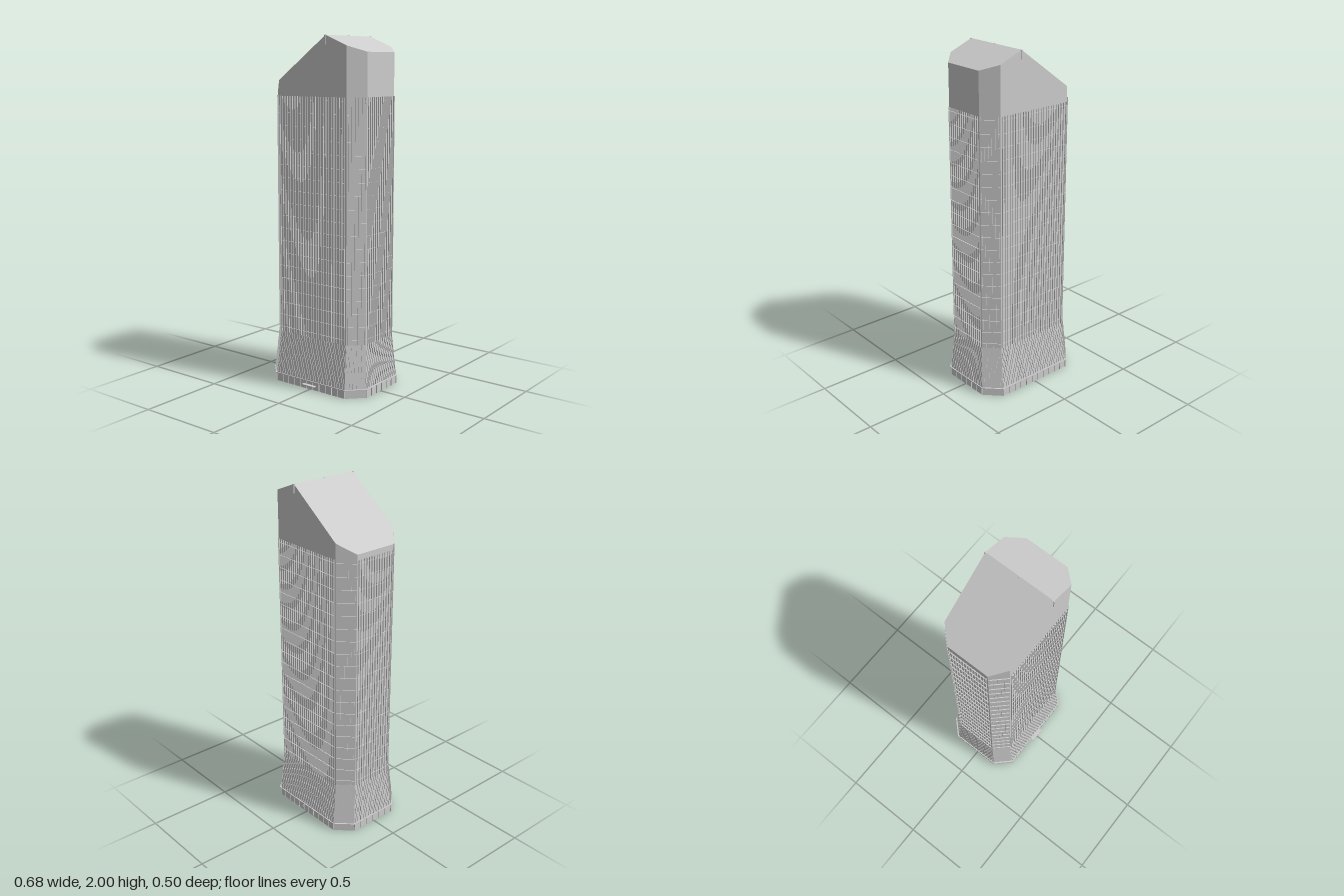
import * as THREE from 'three';

const CZ = -0.0085;   // plan centre in z
const RIDGE = 0.095;  // ridge position in x
const mix = THREE.MathUtils.lerp;

// Chamfered plan at height y: straight shaft over a flared foot
function plan(y) {
  const t = THREE.MathUtils.clamp((0.3 - y) / 0.25, 0, 1);
  const hx = mix(0.315, 0.333, t), hz = mix(0.2075, 0.235, t);
  const fx = mix(0.237, 0.248, t), fz = mix(0.1275, 0.148, t);
  return [[-fx, hz], [fx, hz], [hx, fz], [hx, -fz], [fx, -hz], [-fx, -hz], [-hx, -fz], [-hx, fz]];
}

// Point on facet i at fraction u and height y, pushed outward by d
function onFacet(i, u, y, d = 0) {
  const p = plan(y), a = p[i], b = p[(i + 1) % 8];
  const dx = b[0] - a[0], dz = b[1] - a[1], len = Math.hypot(dx, dz);
  return [mix(a[0], b[0], u) - dz / len * d, y, mix(a[1], b[1], u) + dx / len * d + CZ];
}

function facetLength(i) {
  const a = onFacet(i, 0, 1), b = onFacet(i, 1, 1);
  return Math.hypot(a[0] - b[0], a[2] - b[2]);
}

// Flat-shaded mesh from polygons given as corner loops
function polyMesh(name, polys, material) {
  const pos = [];
  for (const p of polys)
    for (let k = 1; k < p.length - 1; k++) pos.push(...p[0], ...p[k], ...p[k + 1]);
  const g = new THREE.BufferGeometry();
  g.setAttribute('position', new THREE.Float32BufferAttribute(pos, 3));
  g.computeVertexNormals();
  const mesh = new THREE.Mesh(g, material);
  mesh.name = name;
  return mesh;
}

const roofY = x => x < RIDGE
  ? mix(1.7, 2, (x + 0.315) / (RIDGE + 0.315))
  : mix(2, 1.91, (x - RIDGE) / (0.315 - RIDGE));

export function createModel() {
  const grey = new THREE.MeshStandardMaterial({ color: 0xcccccc, side: THREE.DoubleSide });
  grey.name = 'light grey';
  const group = new THREE.Group();
  group.name = 'tower';

  // Walls, open underneath, with an extra point at the ridge on front and back
  const ring = y => {
    const p = plan(y);
    p.splice(5, 0, [RIDGE, p[4][1]]);
    p.splice(1, 0, [RIDGE, p[0][1]]);
    return p.map(([x, z]) => [x, y, z + CZ]);
  };
  const top = ring(1).map(([x, , z]) => [x, roofY(x), z]);
  const rings = [ring(0), ring(0.05), ring(0.3), top];
  const walls = [];
  for (let r = 0; r < 3; r++)
    for (let i = 0; i < 10; i++) {
      const j = (i + 1) % 10;
      walls.push([rings[r][i], rings[r][j], rings[r + 1][j], rings[r + 1][i]]);
    }
  group.add(polyMesh('walls', walls, grey));

  // Two roof slopes meeting at the ridge
  group.add(polyMesh('roof', [
    [1, 2, 3, 4, 5, 6].map(i => top[i]),
    [6, 7, 8, 9, 0, 1].map(i => top[i]),
  ], grey));

  // Thin upright fin and flat ledge standing off a facet
  const fin = (i, u, y0, y1, d) =>
    [onFacet(i, u, y0), onFacet(i, u, y0, d), onFacet(i, u, y1, d), onFacet(i, u, y1)];
  const ledge = (i, u0, u1, y, d) =>
    [onFacet(i, u0, y), onFacet(i, u0, y, d), onFacet(i, u1, y, d), onFacet(i, u1, y)];

  const fins = [], ledges = [], footFins = [], baseFins = [];
  const ROWS = 19, FOOT_ROWS = 8;
  for (let i = 0; i < 8; i++) {
    const n = Math.round(facetLength(i) / 0.0185);
    // Window grid of the shaft
    for (let k = 0; k < n; k++) fins.push(fin(i, (k + 0.5) / n, 0.3, 1.67, 0.006));
    for (let r = 0; r < ROWS; r++)
      ledges.push(ledge(i, 0.02, 0.98, mix(0.33, 1.65, r / (ROWS - 1)), 0.005));
    // Staggered fins of the flared foot
    for (let r = 0; r < FOOT_ROWS; r++)
      for (let k = 0; k < n; k++) {
        const y = mix(0.055, 0.3, r / FOOT_ROWS);
        footFins.push(fin(i, (k + (r % 2 ? 0.75 : 0.25)) / n, y, y + 0.03, 0.005));
      }
    // Dividers of the base band
    const m = Math.round(facetLength(i) / 0.045);
    for (let k = 0; k <= m; k++) baseFins.push(fin(i, k / m, 0, 0.05, 0.005));
  }
  group.add(polyMesh('windowFins', fins, grey));
  group.add(polyMesh('floorLedges', ledges, grey));
  group.add(polyMesh('footFins', footFins, grey));
  group.add(polyMesh('baseDividers', baseFins, grey));

  // Ledge running all round above the base band
  const rim = new THREE.Group();
  rim.name = 'baseLedge';
  const inner = plan(0.05);
  const outer = inner.map(([x, z]) => [x + Math.sign(x) * 0.006, z + Math.sign(z) * 0.006]);
  const shape = new THREE.Shape(outer.map(([x, z]) => new THREE.Vector2(x, -z)));
  shape.holes.push(new THREE.Path(inner.map(([x, z]) => new THREE.Vector2(x, -z))));
  const band = new THREE.ExtrudeGeometry(shape, { depth: 0.004, bevelEnabled: false });
  band.rotateX(-Math.PI / 2).translate(0, 0.047, CZ);
  rim.add(new THREE.Mesh(band, grey));
  group.add(rim);

  const box = (name, w, h, d, x, y, z) => {
    const mesh = new THREE.Mesh(new THREE.BoxGeometry(w, h, d), grey);
    mesh.name = name;
    mesh.position.set(x, y, z);
    group.add(mesh);
  };
  // Entrance canopy
  box('canopy', 0.09, 0.003, 0.03, 0, 0.027, 0.234);
  // Small bars at the gable peaks and mid ridge
  for (const s of [-1, 0, 1]) box('ridgeBar', 0.009, 0.05, 0.012, RIDGE, 1.975, CZ + s * 0.2065);

  return group;
}
